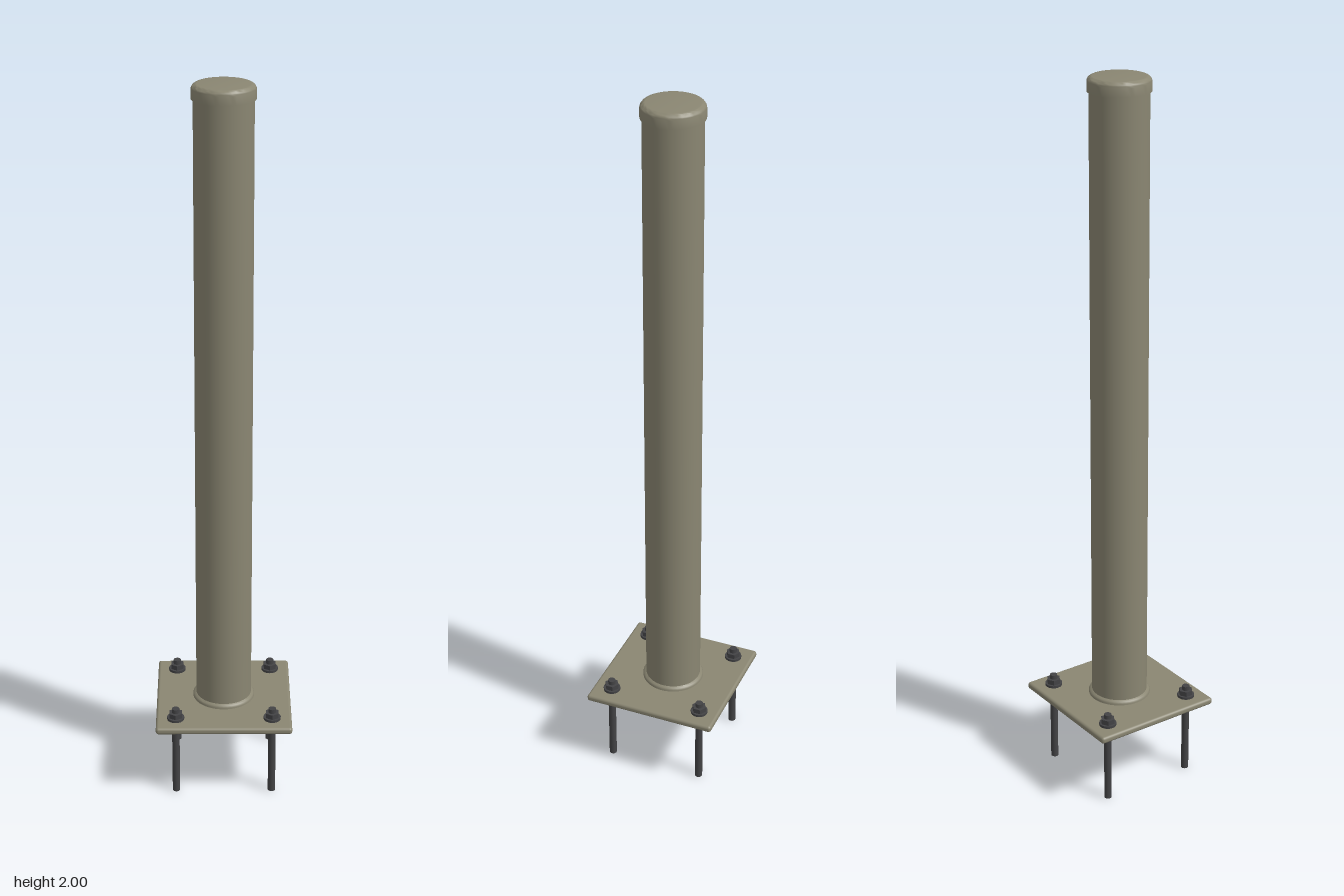
import * as THREE from 'three';
import { toCreasedNormals } from 'three/addons/utils/BufferGeometryUtils.js';
import { RoundedBoxGeometry } from 'three/addons/geometries/RoundedBoxGeometry.js';

export function createModel() {
  const group = new THREE.Group();
  const paint = new THREE.MeshStandardMaterial({ color: 0x8a8672 });
  paint.name = 'olive grey paint';
  const steel = new THREE.MeshStandardMaterial({ color: 0x434345 });
  steel.name = 'dark steel';

  const add = (name, geometry, material, parent = group, y = 0) => {
    const mesh = new THREE.Mesh(geometry, material);
    mesh.name = name;
    mesh.position.y = y;
    parent.add(mesh);
    return mesh;
  };
  const lathe = (points, segments = 48) => toCreasedNormals(
    new THREE.LatheGeometry(points.map(([r, y]) => new THREE.Vector2(r, y)), segments), 0.6);

  // Base plate with softened edges
  add('basePlate', new RoundedBoxGeometry(0.38, 0.02, 0.38, 3, 0.008), paint, group, 0.225);

  // Post, with a weld collar at its foot
  add('post', new THREE.CylinderGeometry(0.078, 0.078, 1.74, 48), paint, group, 1.1);
  add('weldCollar', lathe([
    [0.076, 0.234], [0.087, 0.234], [0.087, 0.239], [0.084, 0.244], [0.078, 0.247],
  ]), paint);

  // Cap with a rounded rim
  const capProfile = [[0, 1.962], [0.083, 1.962]];
  for (let i = 0; i <= 6; i++) {
    const a = (i / 6) * Math.PI / 2;
    capProfile.push([0.069 + 0.014 * Math.cos(a), 1.986 + 0.014 * Math.sin(a)]);
  }
  capProfile.push([0, 2]);
  add('cap', lathe(capProfile), paint);

  // Four anchor bolts, each with a washer and hex nut
  for (const x of [-0.135, 0.135]) {
    for (const z of [-0.135, 0.135]) {
      const bolt = new THREE.Group();
      bolt.name = 'anchorBolt';
      bolt.position.set(x, 0, z);
      add('rod', new THREE.CylinderGeometry(0.0105, 0.0105, 0.268, 16), steel, bolt, 0.134);
      add('washer', new THREE.CylinderGeometry(0.024, 0.024, 0.007, 20), steel, bolt, 0.2385);
      const nut = new THREE.CylinderGeometry(0.02, 0.02, 0.014, 6);
      add('nut', toCreasedNormals(nut, 0.5), steel, bolt, 0.249);
      group.add(bolt);
    }
  }
  return group;
}
